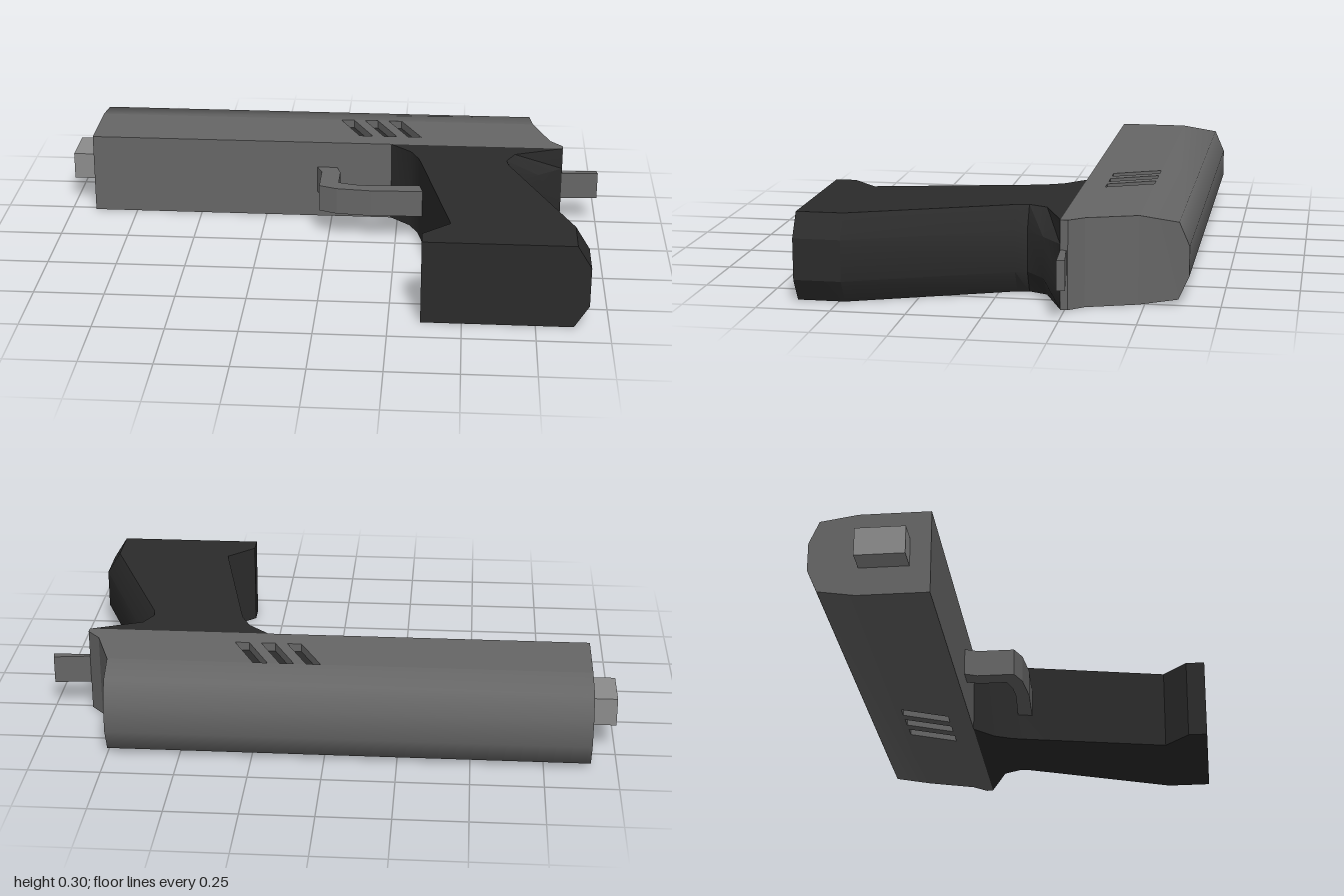
import * as THREE from 'three';
import { toCreasedNormals } from 'three/addons/utils/BufferGeometryUtils.js';

const material = (color) => new THREE.MeshStandardMaterial({ color });
const BODY = material(0x666666), BARREL = material(0x8c8c8c), GRIP = material(0x2b2b2b);

// Extrude an outline of [x, z] points between two heights.
function slab(points, y0, y1, holes = []) {
  const toVectors = (list) => list.map(([x, z]) => new THREE.Vector2(x, z));
  const shape = new THREE.Shape(toVectors(points));
  holes.forEach((h) => shape.holes.push(new THREE.Path(toVectors(h))));
  const geometry = new THREE.ExtrudeGeometry(shape, { depth: y1 - y0, bevelEnabled: false });
  geometry.rotateX(Math.PI / 2).translate(0, y1, 0);
  return geometry;
}

// Skin convex counter-clockwise [x, y] rings stacked along z, with closed ends.
function loft(rows, crease) {
  const n = rows[0].ring.length, last = (rows.length - 1) * n;
  const position = rows.flatMap(({ z, ring }) => ring.flatMap(([x, y]) => [x, y, z]));
  const index = [];
  for (let r = 0; r < rows.length - 1; r++) {
    for (let i = 0; i < n; i++) {
      const a = r * n + i, b = r * n + (i + 1) % n;
      index.push(a, b, b + n, a, b + n, a + n);
    }
  }
  for (let i = 1; i < n - 1; i++) {
    index.push(0, i + 1, i, last, last + i, last + i + 1);
  }
  const geometry = new THREE.BufferGeometry();
  geometry.setAttribute('position', new THREE.Float32BufferAttribute(position, 3));
  geometry.setIndex(index);
  return toCreasedNormals(geometry, crease);
}

export function createModel() {
  const model = new THREE.Group();
  const add = (name, geometry, mat) => {
    const mesh = new THREE.Mesh(geometry, mat);
    mesh.name = name;
    model.add(mesh);
  };

  // Slanted slots cut in both sides of the slide
  const slots = [0, 1, 2].map((i) => {
    const x = 0.02 + i * 0.092;
    return [[x, -0.48], [x + 0.05, -0.48], [x + 0.13, -0.315], [x + 0.08, -0.315]];
  });
  // The slots stop just short of the joint with the rounded top
  const cut = slots.map((s) => s.map(([x, z]) => [x, Math.max(z, -0.478)]));
  add('slideBody', slab([
    [-0.91, -0.48], [0.76, -0.48], [0.82, -0.31], [0.865, -0.26], [0.865, -0.235], [-0.91, -0.235],
  ], 0, 0.3, cut), BODY);
  cut.forEach((s) => add('slotFloor', slab(s, 0.03, 0.27), GRIP));

  // Rounded top of the slide
  const topRows = [[-0.645, 0.1, 0.75], [-0.61, 0.02, 0.75], [-0.48, 0, 0.76]];
  add('slideTop', loft(topRows.map(([z, y, x]) => ({
    z, ring: [[-0.91, y], [x, y], [x, 0.3 - y], [-0.91, 0.3 - y]],
  })), 1.05), BODY);

  // Barrel end
  const barrel = new THREE.BoxGeometry(0.1, 0.1, 0.17);
  add('barrel', barrel.translate(-0.95, 0.15, -0.39), BARREL);

  // Grip with a bevelled back: z, front x, back x, bevel width
  const gripRows = [
    [-0.235, 0.225, 0.865, 0.004], [-0.165, 0.3, 0.775, 0.09], [-0.1, 0.33, 0.698, 0.045],
    [-0.06, 0.34, 0.71, 0.05], [0.48, 0.455, 0.93, 0.05], [0.57, 0.36, 0.93, 0.05],
    [0.64, 0.36, 0.93, 0.05],
  ];
  add('grip', loft(gripRows.map(([z, front, back, b]) => ({
    z,
    ring: [[front, 0], [back - b, 0], [back, 0.08], [back, 0.22], [back - b, 0.3], [front, 0.3]],
  })), 0.55), GRIP);

  // Trigger guard
  add('triggerGuard', slab([
    [-0.055, -0.235], [-0.035, -0.19], [-0.035, -0.055], [0.03, -0.03], [0.16, -0.018],
    [0.35, -0.025], [0.35, -0.08], [0.16, -0.068], [0.09, -0.073], [0.035, -0.09],
    [0.035, -0.19], [0.02, -0.235],
  ], 0.1, 0.2), BODY);

  // Hammer
  add('hammer', slab([
    [0.82, -0.26], [0.87, -0.255], [0.995, -0.27], [1, -0.243], [0.865, -0.235], [0.82, -0.24],
  ], 0.1, 0.2), BODY);

  return model;
}
